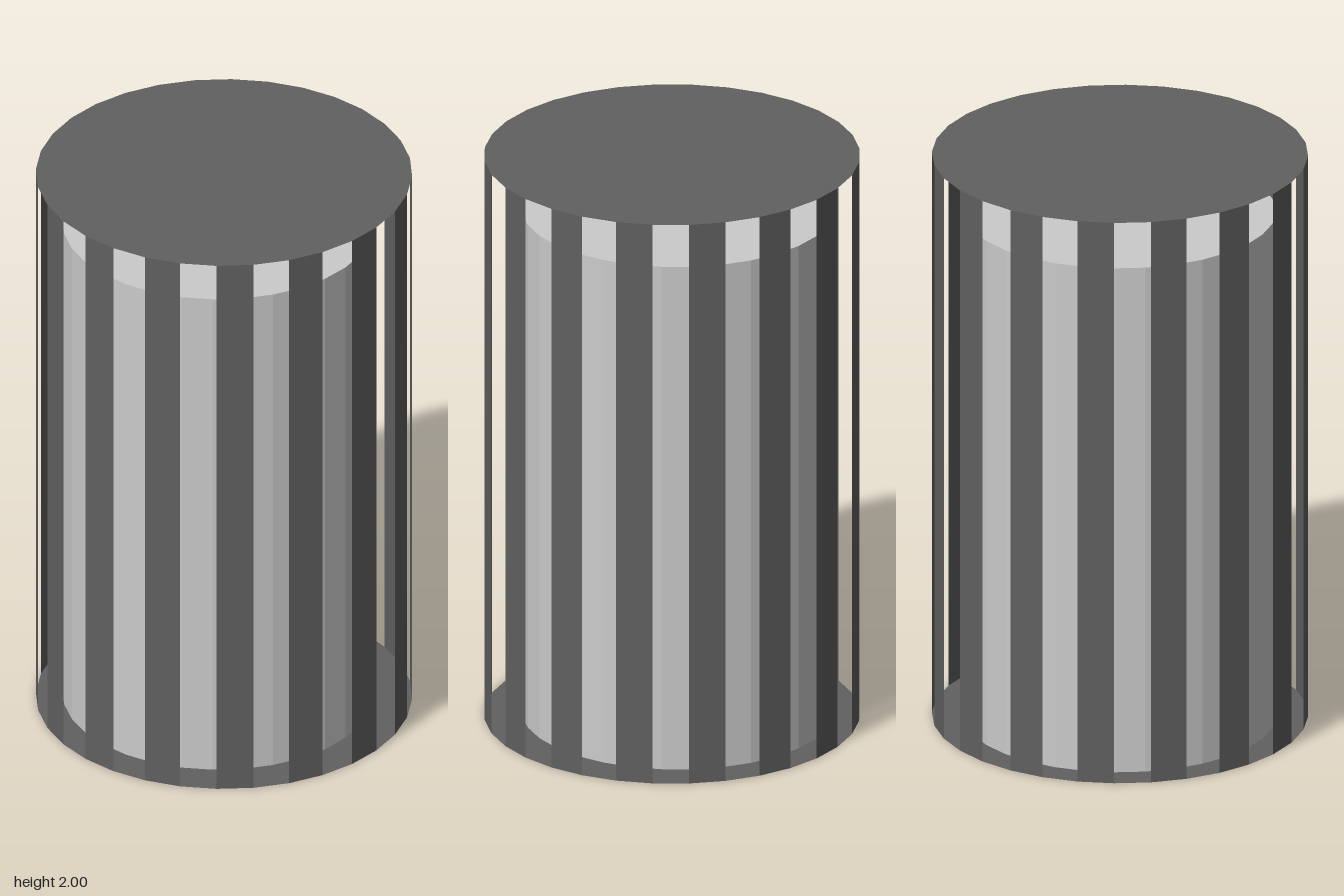
import * as THREE from 'three';

const SIDES = 32, RADIUS = 0.625, HEIGHT = 2;

export function createModel() {
  const group = new THREE.Group();
  const dark = new THREE.MeshStandardMaterial({ color: 0x606060, flatShading: true, side: THREE.DoubleSide });
  const light = new THREE.MeshStandardMaterial({ color: 0xcccccc, flatShading: true });

  const add = (name, geometry, material, x, y, z) => {
    const mesh = new THREE.Mesh(geometry, material);
    mesh.name = name;
    mesh.position.set(x, y, z);
    group.add(mesh);
    return mesh;
  };

  // Thin end discs of the cage
  add('topDisc', new THREE.CircleGeometry(RADIUS, SIDES), dark, 0, HEIGHT, 0).rotation.x = -Math.PI / 2;
  add('bottomDisc', new THREE.CircleGeometry(RADIUS, SIDES), dark, 0, 0, 0).rotation.x = Math.PI / 2;

  // Upright bars: every second facet of the outer cylinder
  const step = (Math.PI * 2) / SIDES;
  for (let i = 1; i < SIDES; i += 2) {
    const bar = new THREE.CylinderGeometry(RADIUS, RADIUS, HEIGHT, 1, 1, true, i * step, step);
    add('bar', bar, dark, 0, HEIGHT / 2, 0);
  }

  // Solid core, set slightly off centre and short of the top disc
  const bottom = 0.006, top = 1.805;
  const core = new THREE.CylinderGeometry(0.52, 0.52, top - bottom, SIDES);
  add('core', core, light, -0.015, (top + bottom) / 2, -0.015);

  return group;
}
